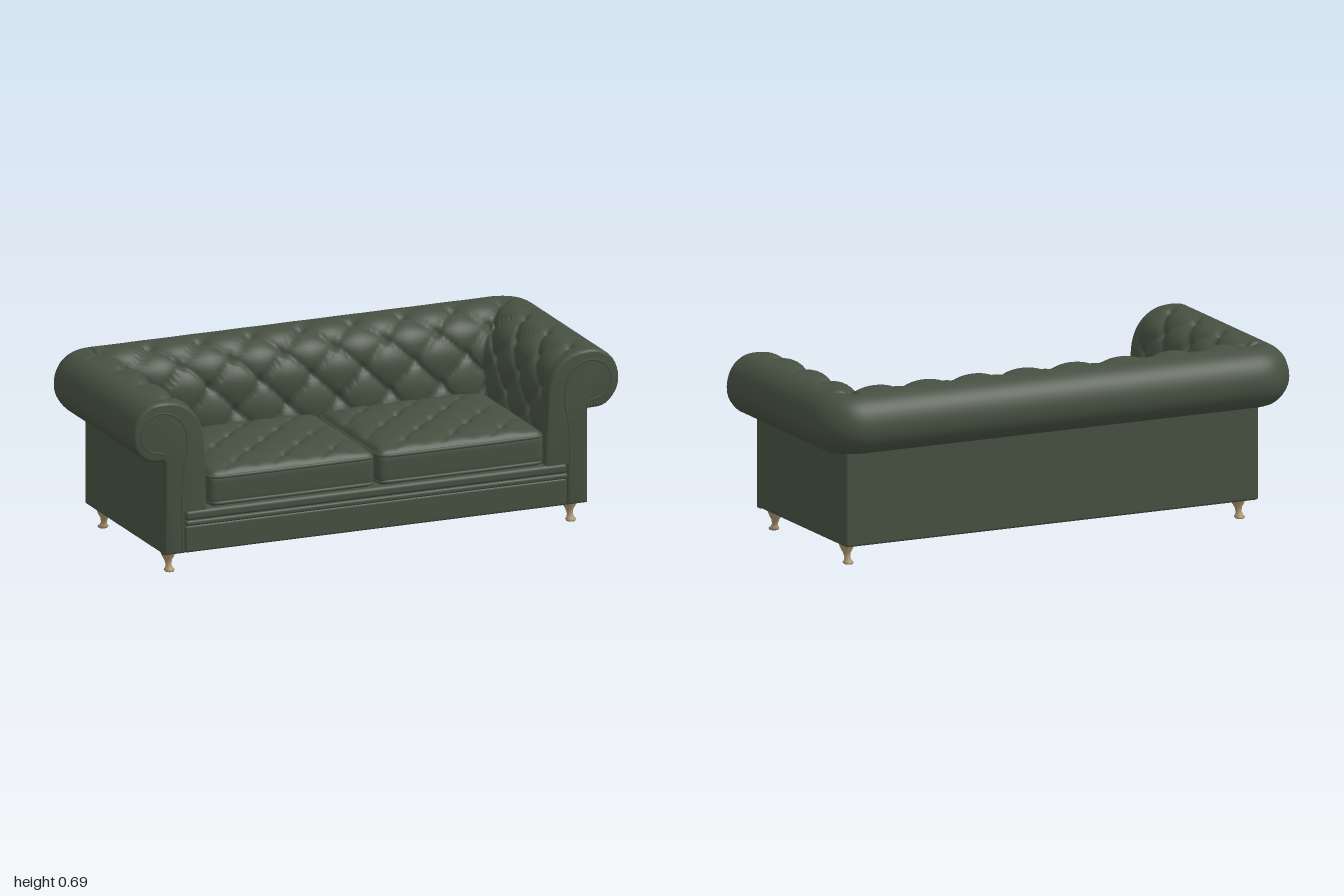
import * as THREE from 'three';
import { mergeVertices, toCreasedNormals } from 'three/addons/utils/BufferGeometryUtils.js';
import { RoundedBoxGeometry } from 'three/addons/geometries/RoundedBoxGeometry.js';

const leather = new THREE.MeshStandardMaterial({ color: 0x465041 });
leather.name = 'green leather';
const wood = new THREE.MeshStandardMaterial({ color: 0xa8926c });
wood.name = 'pale wood';

const V2 = (x, y) => new THREE.Vector2(x, y);
const V3 = (x, y, z) => new THREE.Vector3(x, y, z);
const smooth = THREE.MathUtils.smoothstep;

// Rolled section shared by arms and back: distance outside the body wall, height
const roll = new THREE.SplineCurve([
  [0, 0.45], [0.07, 0.458], [0.118, 0.51], [0.128, 0.57], [0.107, 0.632], [0.06, 0.672],
  [0, 0.681], [-0.07, 0.668], [-0.13, 0.62], [-0.16, 0.55], [-0.168, 0.45], [-0.172, 0.34], [-0.175, 0.24],
].map(([d, y]) => V2(d, y)));

// Diamond button tufting: 0 at buttons and folds, 1 on the pillows
function tuft(u, v, pitch) {
  const a = (u + v) / pitch, b = (u - v) / pitch;
  const pillow = Math.pow(Math.abs(Math.sin(Math.PI * a) * Math.sin(Math.PI * b)), 0.4);
  const du = Math.abs(a - Math.round(a)), dv = Math.abs(b - Math.round(b));
  return pillow - 0.7 * Math.exp(-(du * du + dv * dv) / 0.012);
}

// Rolled upholstery swept round the two arms and the back
function sweptRoll() {
  const px = 0.83, pz = -0.285, front = 0.41, rows = 64, pitch = px / 4;
  const length = roll.getLength();
  const columns = [];
  const add = (kind, n) => { for (let i = 0; i <= n; i++) columns.push([kind, i / n]); };
  add('left', 64); add('leftCorner', 10); add('back', 150); add('rightCorner', 10); add('right', 64);
  const place = (kind, t, D) => {
    const m = Math.min(D, 0), r = Math.max(D, 0);
    if (kind === 'back') return [(px + m) * (1 - 2 * t), pz - D];
    const side = kind.startsWith('left') ? 1 : -1;
    const s = side > 0 ? t : 1 - t;
    if (kind.endsWith('Corner')) {
      const q = s * Math.PI / 2;
      return [side * (px + m + r * Math.cos(q)), pz - m - r * Math.sin(q)];
    }
    return [side * (px + D), front + (pz - m - front) * s];
  };
  const pos = [], index = [];
  for (const [kind, t] of columns) {
    for (let j = 0; j <= rows; j++) {
      const k = j / rows, p = roll.getPointAt(k), tan = roll.getTangentAt(k);
      const [x0, z0] = place(kind, t, p.x + 0.04);
      const u = kind === 'back' ? px - Math.abs(x0) : z0 - pz;
      const fade = smooth(k, 0.36, 0.48) * (1 - smooth(k, 0.9, 1)) * (1 - smooth(z0, front - 0.06, front));
      const corner = kind.endsWith('Corner') ? 0 : 1;
      const h = fade * 0.026 * ((corner ? tuft(u, (k - 0.47) * length, pitch) : 0) - 0.6);
      const [x, z] = place(kind, t, p.x + 0.04 + tan.y * h);
      pos.push(x, p.y - tan.x * h, z);
    }
  }
  const w = rows + 1;
  for (let i = 0; i < columns.length - 1; i++) for (let j = 0; j < rows; j++) {
    const a = i * w + j, b = a + w;
    index.push(a, b, a + 1, b, b + 1, a + 1);
  }
  let g = new THREE.BufferGeometry();
  g.setAttribute('position', new THREE.Float32BufferAttribute(pos, 3));
  g.setIndex(index);
  g = mergeVertices(g, 1e-4);
  g.computeVertexNormals();
  return g;
}

// Soft seat cushion with rounded edges, a crown and tufting on top
function cushionGeometry(w, h, d, r) {
  let g = new THREE.BoxGeometry(w, h, d, 64, 10, 56);
  g.deleteAttribute('uv');
  g.deleteAttribute('normal');
  g = mergeVertices(g, 1e-4);
  const P = g.attributes.position, p = V3(0, 0, 0), q = V3(0, 0, 0);
  const inner = V3(w / 2 - r, h / 2 - r, d / 2 - r);
  for (let i = 0; i < P.count; i++) {
    p.fromBufferAttribute(P, i);
    const top = p.y > h / 2 - 1e-4;
    const nx = 2 * p.x / w, nz = 2 * p.z / d;
    q.copy(p).clamp(inner.clone().negate(), inner);
    p.sub(q).setLength(r).add(q);
    if (top) {
      const mask = (1 - Math.pow(Math.abs(nx), 6)) * (1 - Math.pow(Math.abs(nz), 6));
      p.y += mask * (0.018 + 0.02 * (tuft(p.x, p.z, 0.2) - 0.35));
    }
    P.setXYZ(i, p.x, p.y, p.z);
  }
  g.computeVertexNormals();
  return g;
}

// Closed piping loop around a cushion
function pipingGeometry(w, d, r) {
  const pts = [];
  for (const [sx, sz, q0] of [[1, 1, 0], [-1, 1, 1], [-1, -1, 2], [1, -1, 3]]) {
    for (let i = 0; i <= 4; i++) {
      const q = (q0 + i / 4) * Math.PI / 2;
      pts.push(V3(sx * (w / 2 - r) + r * Math.cos(q), 0, sz * (d / 2 - r) + r * Math.sin(q)));
    }
  }
  const curve = new THREE.CatmullRomCurve3(pts, true, 'centripetal');
  return new THREE.TubeGeometry(curve, 120, 0.007, 8, true);
}

// Front face of an arm: scroll on top of a narrow post
function armFrontGeometry(side) {
  const inset = 0.01;
  const pts = roll.getSpacedPoints(48).map((p, i) => {
    const t = roll.getTangentAt(i / 48);
    return V2(side * (0.87 + p.x - t.y * inset), p.y + t.x * inset);
  });
  pts.push(V2(side * 0.795, 0.245), V2(side * 0.795, 0.09), V2(side * 0.86, 0.09), V2(side * 0.86, 0.45));
  const g = new THREE.ExtrudeGeometry(new THREE.Shape(pts), {
    depth: 0.02, bevelThickness: 0.014, bevelSize: inset, bevelSegments: 4,
  });
  g.translate(0, 0, 0.395);
  return toCreasedNormals(g, 0.7);
}

// Curved leg with its foot kicked out along z
function legGeometry(dir) {
  const profile = [[0, 0], [0.017, 0], [0.021, 0.006], [0.015, 0.013], [0.011, 0.024],
    [0.015, 0.042], [0.024, 0.058], [0.029, 0.072], [0.03, 0.085]];
  const g = new THREE.LatheGeometry(profile.map(([r, y]) => V2(r, y)), 20);
  const P = g.attributes.position;
  for (let i = 0; i < P.count; i++) {
    const s = 1 - P.getY(i) / 0.085;
    P.setZ(i, P.getZ(i) + dir * (0.03 * s * s - 0.018 * s));
  }
  g.computeVertexNormals();
  return g;
}

export function createModel() {
  const sofa = new THREE.Group();
  sofa.name = 'sofa';
  const add = (name, geometry, material = leather, x = 0, y = 0, z = 0) => {
    const mesh = new THREE.Mesh(geometry, material);
    mesh.name = name;
    mesh.position.set(x, y, z);
    sofa.add(mesh);
  };
  const block = (name, x0, x1, y0, y1, z0, z1, r = 0.01) => add(name,
    new RoundedBoxGeometry(x1 - x0, y1 - y0, z1 - z0, 3, r), leather, (x0 + x1) / 2, (y0 + y1) / 2, (z0 + z1) / 2);

  // Body walls and seat platform
  block('base', -0.87, 0.87, 0.08, 0.24, -0.325, 0.41);
  block('backWall', -0.87, 0.87, 0.08, 0.48, -0.325, -0.19);
  block('leftArmWall', 0.73, 0.87, 0.08, 0.48, -0.325, 0.415);
  block('rightArmWall', -0.87, -0.73, 0.08, 0.48, -0.325, 0.415);

  // Front rail with two beads
  block('frontRail', -0.785, 0.785, 0.08, 0.187, 0.3, 0.427);
  block('lowerBead', -0.785, 0.785, 0.186, 0.208, 0.3, 0.437, 0.009);
  block('upperBead', -0.785, 0.785, 0.206, 0.246, 0.3, 0.434, 0.014);

  add('rolledArmsAndBack', sweptRoll());

  for (const side of [1, -1]) {
    const label = side > 0 ? 'left' : 'right';
    add(label + 'ArmFront', armFrontGeometry(side));
    // Piping that follows the post and scroll
    const path = new THREE.CatmullRomCurve3([
      [0.797, 0.09], [0.797, 0.24], [0.792, 0.4], [0.775, 0.5], [0.797, 0.595], [0.87, 0.64],
      [0.94, 0.62], [0.967, 0.56], [0.935, 0.5], [0.875, 0.48],
    ].map(([x, y]) => V3(side * x, y, 0.427)));
    add(label + 'ArmPiping', new THREE.TubeGeometry(path, 70, 0.005, 6));

    // Seat cushion with piping along its top and bottom edges
    const x = side * 0.347, z = 0.148;
    add(label + 'Cushion', cushionGeometry(0.684, 0.134, 0.582, 0.03), leather, x, 0.315, z);
    for (const [edge, y] of [['Top', 0.366], ['Bottom', 0.264]])
      add(label + 'Cushion' + edge + 'Piping', pipingGeometry(0.674, 0.576, 0.03), leather, x, y, z);

    // Legs
    add(label + 'FrontLeg', legGeometry(1), wood, side * 0.825, 0, 0.358);
    add(label + 'BackLeg', legGeometry(-1), wood, side * 0.825, 0, -0.243);
  }
  return sofa;
}
